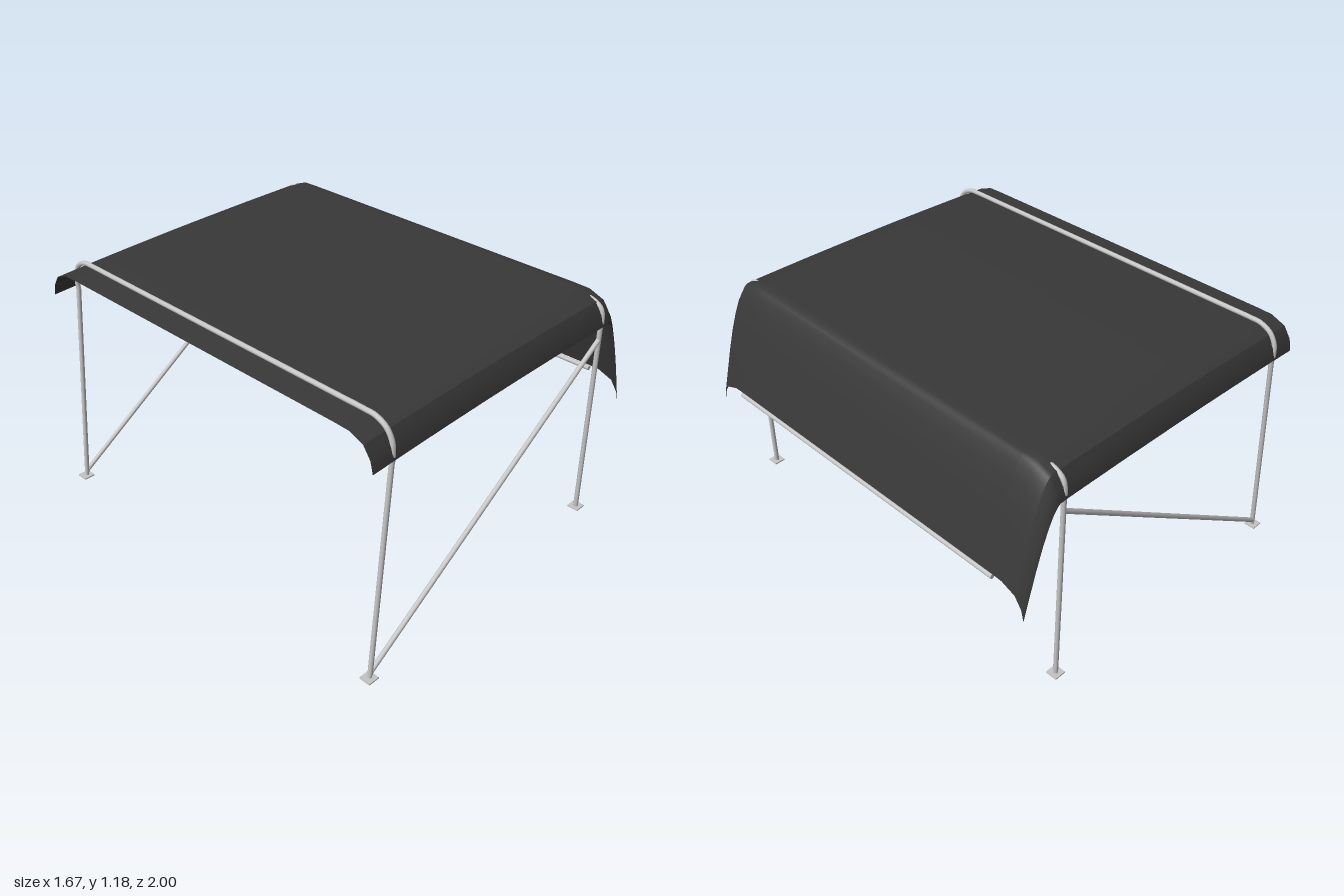
import * as THREE from 'three';

const fabric = new THREE.MeshStandardMaterial({ color: 0x383838, side: THREE.DoubleSide });
fabric.name = 'darkFabric';
const metal = new THREE.MeshStandardMaterial({ color: 0xc4c4c4 });
metal.name = 'lightGreyMetal';

const TUBE = 0.011;
const LEG_Z = 0.972;

// Roof line from the open edge to the bottom of the drop panel: [x, y]
const ROOF = [
  [-0.83, 1.15], [-0.62, 1.16], [-0.4, 1.168], [-0.2, 1.174], [0, 1.178], [0.3, 1.182], [0.6, 1.183],
  [0.64, 1.181], [0.655, 1.171], [0.675, 1.145], [0.7, 1.093], [0.73, 1.015], [0.76, 0.92],
  [0.79, 0.815], [0.822, 0.7],
];

function addMesh(group, name, geometry, material) {
  const mesh = new THREE.Mesh(geometry, material);
  mesh.name = name;
  group.add(mesh);
  return mesh;
}

// Carries a cross-section of [z, drop] points along the roof line
function sweep(section) {
  const positions = [], index = [], n = section.length;
  for (const [x, y] of ROOF) for (const [z, drop] of section) positions.push(x, y - drop, z);
  for (let i = 0; i < ROOF.length - 1; i++) {
    for (let j = 0; j < n - 1; j++) {
      const a = i * n + j, b = a + n;
      index.push(a, a + 1, b, b, a + 1, b + 1);
    }
  }
  const geometry = new THREE.BufferGeometry();
  geometry.setAttribute('position', new THREE.Float32BufferAttribute(positions, 3));
  geometry.setIndex(index);
  geometry.computeVertexNormals();
  return geometry;
}

// Straight round bar between two points
function rod(group, name, from, to, radius = TUBE) {
  const a = new THREE.Vector3(...from), b = new THREE.Vector3(...to);
  const dir = b.clone().sub(a);
  const mesh = addMesh(group, name, new THREE.CylinderGeometry(radius, radius, dir.length(), 12), metal);
  mesh.position.copy(a).add(b).multiplyScalar(0.5);
  mesh.quaternion.setFromUnitVectors(new THREE.Vector3(0, 1, 0), dir.normalize());
}

// Bent bar across the roof, mirrored from one half given as [z, y]
function hoop(group, name, x, half) {
  const right = half.map(([z, y]) => new THREE.Vector3(x, y, z));
  const left = half.map(([z, y]) => new THREE.Vector3(x, y, -z)).reverse();
  const curve = new THREE.CatmullRomCurve3([...right, ...left]);
  addMesh(group, name, new THREE.TubeGeometry(curve, 180, TUBE, 12), metal);
}

export function createModel() {
  const model = new THREE.Group();
  model.name = 'canopyShelter';

  // Cover: top sheet with rounded shoulders, plus creased side valances
  const cover = new THREE.Group();
  cover.name = 'cover';
  model.add(cover);
  addMesh(cover, 'topSheet', sweep([
    [-0.94, 0.029], [-0.87, 0.002], [-0.8, 0], [0.8, 0], [0.87, 0.002], [0.94, 0.029],
  ]), fabric);
  addMesh(cover, 'rightValance', sweep([[0.94, 0.029], [0.975, 0.08], [0.988, 0.134]]), fabric);
  addMesh(cover, 'leftValance', sweep([[-0.988, 0.134], [-0.975, 0.08], [-0.94, 0.029]]), fabric);

  // Frame: one hoop over the cover, one just beneath it
  const frame = new THREE.Group();
  frame.name = 'frame';
  model.add(frame);
  hoop(frame, 'outerHoop', -0.713, [
    [LEG_Z, 1.0], [0.976, 1.045], [0.97, 1.095], [0.942, 1.14], [0.89, 1.166], [0.84, 1.169], [0.7, 1.169],
  ]);
  hoop(frame, 'innerHoop', 0.605, [
    [LEG_Z, 1.03], [0.975, 1.075], [0.964, 1.125], [0.93, 1.15], [0.88, 1.161], [0.83, 1.163], [0.7, 1.163],
  ]);

  // Legs, diagonal braces and foot plates on both sides
  for (const side of [-1, 1]) {
    const z = side * LEG_Z;
    rod(frame, 'slantedLeg', [-0.805, 0.02, z], [-0.713, 1.01, z]);
    rod(frame, 'uprightLeg', [0.605, 0.088, z], [0.605, 1.04, z]);
    rod(frame, 'diagonalBrace', [-0.803, 0.03, z], [0.605, 0.98, z]);
    rod(frame, 'footStub', [-0.808, 0.004, z], [-0.805, 0.03, z], 0.009);
    for (const [x, y] of [[-0.81, 0.004], [0.605, 0.087]]) {
      const plate = addMesh(frame, 'footPlate', new THREE.BoxGeometry(0.055, 0.006, 0.055), metal);
      plate.position.set(x, y, z);
    }
  }

  // Bar along the bottom of the drop panel
  rod(frame, 'hemBar', [0.82, 0.685, -0.82], [0.82, 0.685, 0.82]);

  return model;
}
